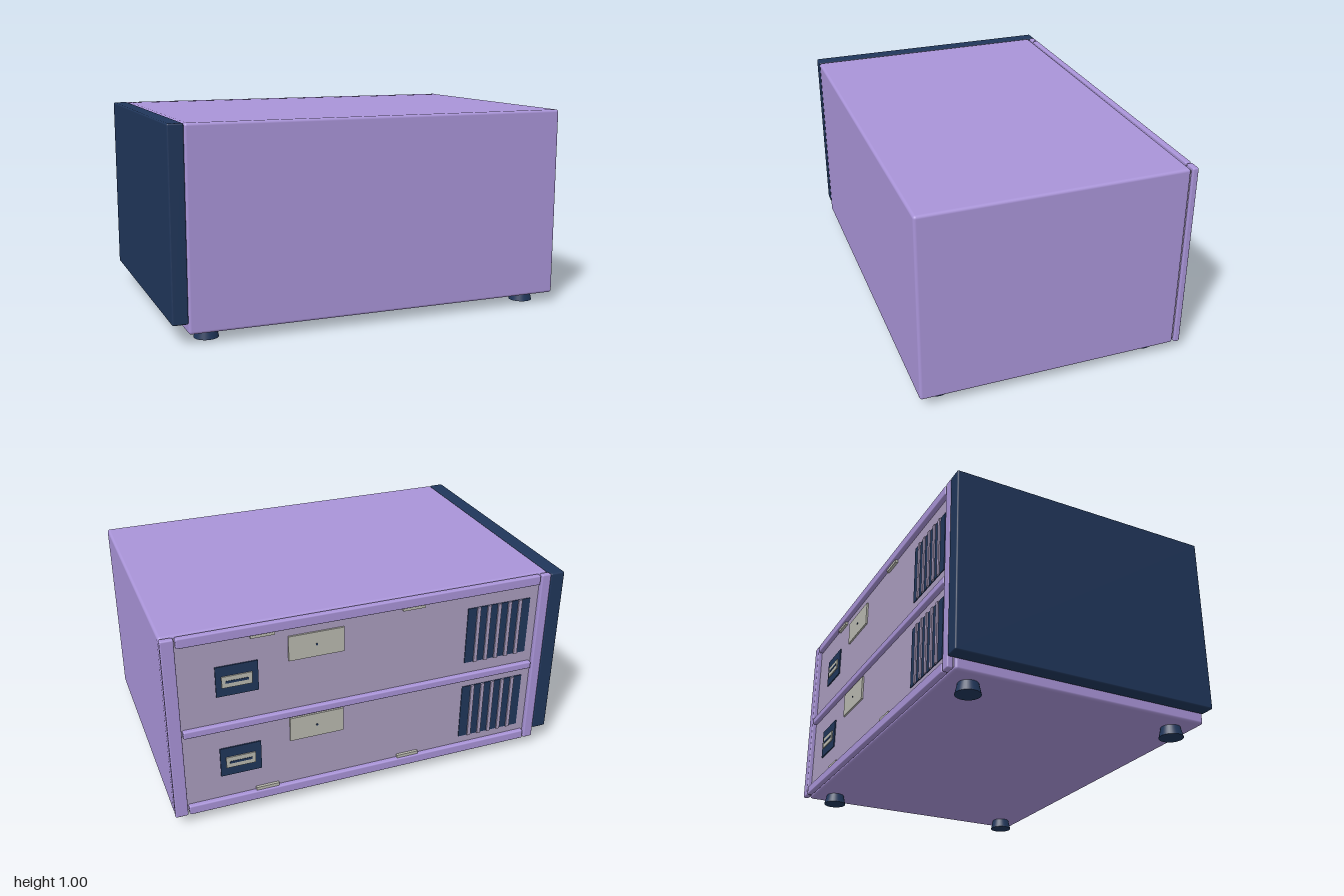
import * as THREE from 'three';
import { RoundedBoxGeometry } from 'three/addons/geometries/RoundedBoxGeometry.js';

export function createModel() {
  const model = new THREE.Group();
  model.name = 'equipmentCabinet';

  const material = (name, color) => {
    const m = new THREE.MeshStandardMaterial({ color });
    m.name = name;
    return m;
  };
  const purple = material('purple casing', 0xa994d8);
  const mauve = material('mauve panel', 0xaa9dbf);
  const navy = material('navy trim', 0x20365a);
  const grey = material('pale grey plate', 0xb9b9b0);

  // Box given by its limits on each axis; a radius above 0 rounds its edges
  const block = (parent, name, mat, [x0, x1], [y0, y1], [z0, z1], radius = 0) => {
    const size = [x1 - x0, y1 - y0, z1 - z0];
    const geometry = radius
      ? new RoundedBoxGeometry(...size, 3, radius)
      : new THREE.BoxGeometry(...size);
    const mesh = new THREE.Mesh(geometry, mat);
    mesh.name = name;
    mesh.position.set((x0 + x1) / 2, (y0 + y1) / 2, (z0 + z1) / 2);
    parent.add(mesh);
    return mesh;
  };

  // Main casing and the dark side cover
  block(model, 'casing', purple, [-0.925, 1], [0.05, 1], [-0.627, 0.665], 0.014);
  block(model, 'sideCover', navy, [-1, -0.925], [0.1, 1], [-0.665, 0.665], 0.008);

  // Rear frame: two posts and three rails, set off from the casing by a groove
  const frame = new THREE.Group();
  frame.name = 'rearFrame';
  model.add(frame);
  const frameZ = [-0.665, -0.635];
  block(frame, 'rightPost', purple, [-0.925, -0.875], [0.05, 1], frameZ, 0.007);
  block(frame, 'leftPost', purple, [0.938, 1], [0.05, 1], frameZ, 0.007);
  for (const [name, y0, y1] of [['topRail', 0.95, 1], ['middleRail', 0.48, 0.518], ['bottomRail', 0.05, 0.098]]) {
    block(frame, name, purple, [-0.868, 0.931], [y0, y1], frameZ, 0.007);
  }
  block(frame, 'rearPanel', mauve, [-0.91, 0.985], [0.065, 0.985], [-0.642, -0.61]);

  // Two identical rear units
  const face = -0.642;
  for (const [name, drop] of [['upperUnit', 0], ['lowerUnit', 0.44]]) {
    const unit = new THREE.Group();
    unit.name = name;
    unit.position.y = -drop;
    model.add(unit);

    // Socket with a pale connector and a dark slit
    block(unit, 'socketPlate', navy, [0.565, 0.765], [0.66, 0.815], [face - 0.006, face]);
    block(unit, 'connector', grey, [0.595, 0.738], [0.706, 0.764], [face - 0.012, face - 0.006]);
    block(unit, 'connectorSlit', navy, [0.612, 0.721], [0.729, 0.741], [face - 0.014, face - 0.012]);

    // Label plate with a small centre pin
    block(unit, 'labelPlate', grey, [0.15, 0.42], [0.78, 0.906], [face - 0.009, face]);
    const pin = new THREE.Mesh(new THREE.CylinderGeometry(0.005, 0.005, 0.003, 12), navy);
    pin.name = 'labelPin';
    pin.rotation.x = Math.PI / 2;
    pin.position.set(0.285, 0.843, face - 0.0105);
    unit.add(pin);

    // Vent: dark opening crossed by upright slats
    block(unit, 'ventOpening', navy, [-0.832, -0.492], [0.578, 0.878], [face - 0.004, face]);
    for (let i = 1; i < 6; i++) {
      const x = -0.832 + (i * 0.34) / 6;
      block(unit, 'ventSlat', mauve, [x - 0.009, x + 0.009], [0.578, 0.878], [face - 0.011, face - 0.004]);
    }
  }

  // Small clips along the top and bottom rails
  for (const x of [0.54, -0.2]) {
    for (const y of [0.943, 0.105]) {
      block(frame, 'clip', grey, [x - 0.057, x + 0.057], [y - 0.009, y + 0.009], [-0.656, face]);
    }
  }

  // Feet flaring towards the ground
  for (const x of [-0.818, 0.88]) {
    for (const z of [0.553, -0.515]) {
      const foot = new THREE.Mesh(new THREE.CylinderGeometry(0.046, 0.059, 0.055, 32), navy);
      foot.name = 'foot';
      foot.position.set(x, 0.0275, z);
      model.add(foot);
    }
  }
  return model;
}
